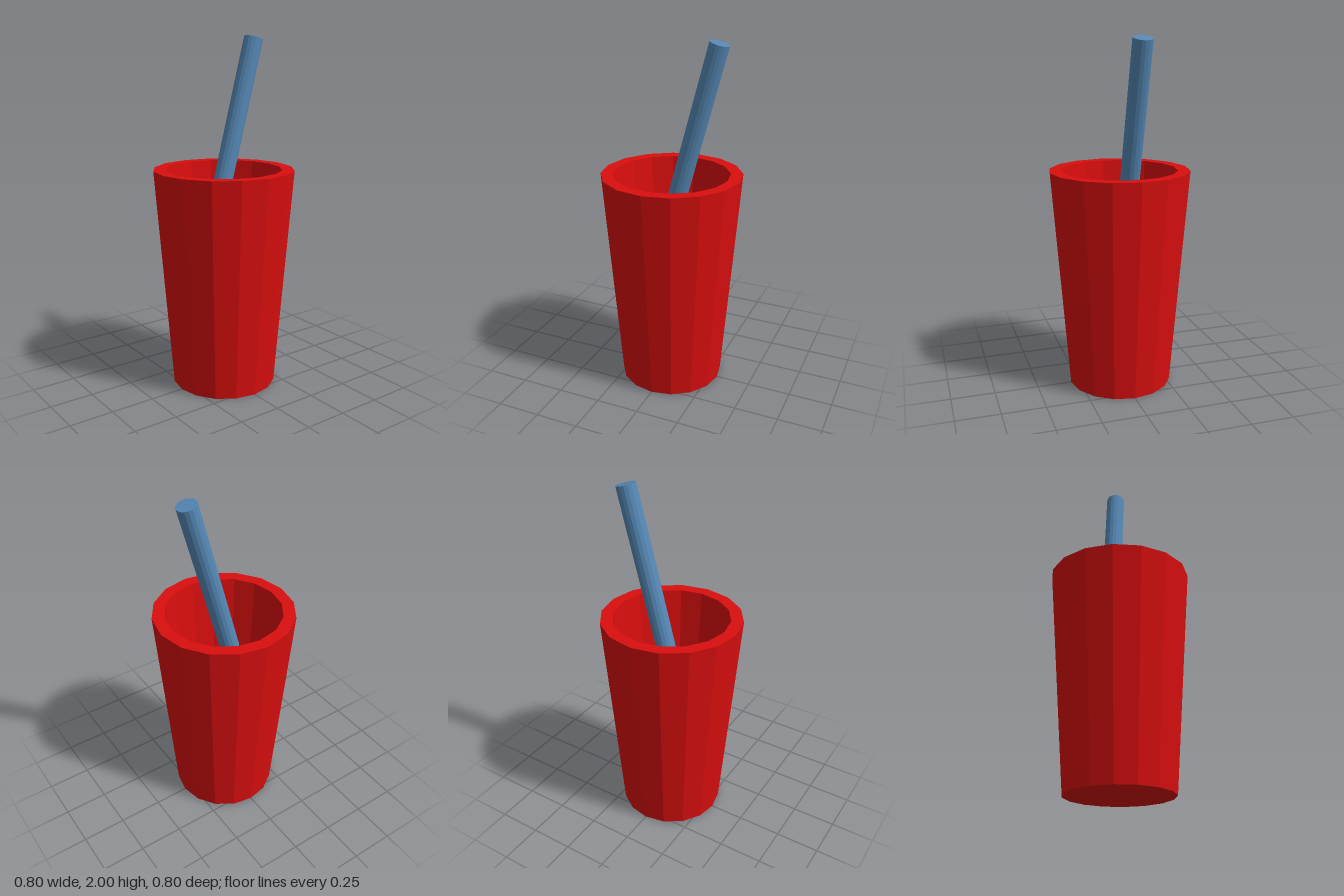
import * as THREE from 'three';

const SIDES = 16;

export function createModel() {
  const model = new THREE.Group();
  model.name = 'cupWithStraw';

  // Cup: thick-walled tapered tumbler, profile from base centre round the rim to the inner floor
  const profile = [[0, 0], [0.3, 0], [0.4, 1.265], [0.33, 1.265], [0.235, 0.07], [0, 0.07]]
    .map(([r, y]) => new THREE.Vector2(r, y));
  const cup = new THREE.Mesh(
    new THREE.LatheGeometry(profile, SIDES),
    new THREE.MeshStandardMaterial({ color: 0xd90e0e, flatShading: true })
  );
  cup.name = 'cup';
  model.add(cup);

  // Straw: solid rod leaning towards the back
  const bottom = new THREE.Vector3(-0.05, 1.04, 0.007);
  const top = new THREE.Vector3(-0.05, 1.986, -0.247);
  const straw = new THREE.Mesh(
    new THREE.CylinderGeometry(0.055, 0.055, bottom.distanceTo(top), SIDES),
    new THREE.MeshStandardMaterial({ color: 0x5588b5, flatShading: true })
  );
  straw.name = 'straw';
  straw.position.lerpVectors(bottom, top, 0.5);
  straw.rotation.x = Math.atan2(top.z - bottom.z, top.y - bottom.y);
  model.add(straw);

  return model;
}
